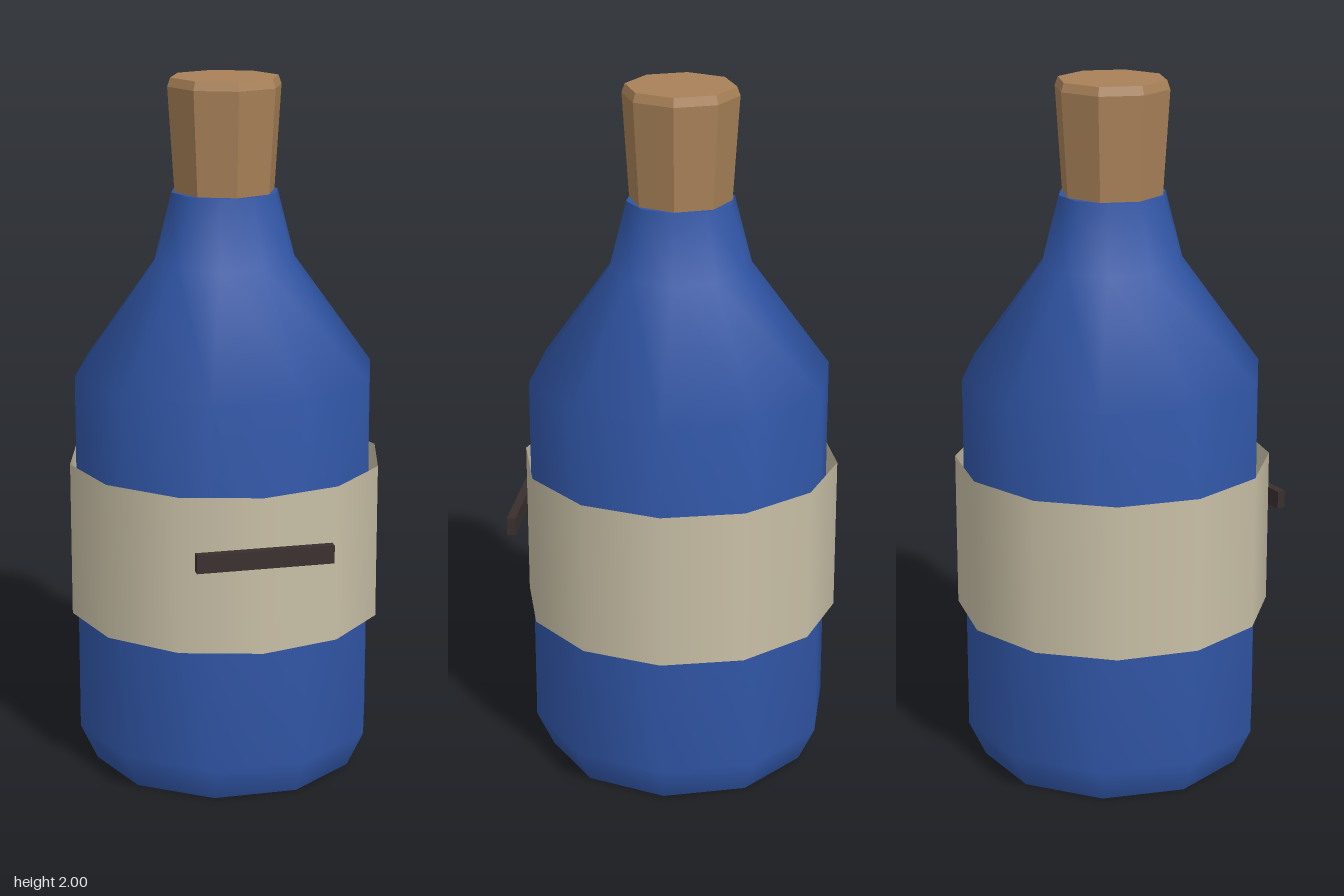
import * as THREE from 'three';

const paint = (name, color, extra = {}) => {
  const m = new THREE.MeshStandardMaterial({ color, ...extra });
  m.name = name;
  return m;
};

export function createModel() {
  const glass = paint('blue glass', 0x3055a5);
  const corkMat = paint('cork brown', 0xa88158, { flatShading: true });
  const paper = paint('cream paper', 0xc8bfa6, { side: THREE.DoubleSide });
  const ink = paint('dark ink', 0x3a2f2f);

  const group = new THREE.Group();
  const axisZ = -0.0135; // the bottle axis sits slightly behind the centre
  const add = (name, geometry, material, x, y, z) => {
    const mesh = new THREE.Mesh(geometry, material);
    mesh.name = name;
    mesh.position.set(x, y, z);
    group.add(mesh);
  };
  // turned part with corners on the x axis
  const turn = (points, sides) => new THREE.LatheGeometry(
    points.map(([r, y]) => new THREE.Vector2(r, y)), sides, Math.PI / 2);

  // ten-sided bottle, smooth around, with crisp base and rim
  add('bottleBody', turn([[0.388, 0], [0.437, 0.105], [0.437, 1.165], [0.205, 1.485], [0.154, 1.68]], 10),
    glass, 0, 0, axisZ);
  add('bottleBase', new THREE.CircleGeometry(0.388, 10).rotateX(Math.PI / 2), glass, 0, 0, axisZ);
  add('bottleRim', new THREE.CircleGeometry(0.154, 10).rotateX(-Math.PI / 2), glass, 0, 1.68, axisZ);

  // eight-sided flared stopper with a small bevel on top
  add('cork', turn([[0, 1.62], [0.141, 1.62], [0.145, 1.68], [0.164, 1.975], [0.155, 2], [0, 2]], 8),
    corkMat, 0, 0, axisZ);

  // paper band around the body
  add('label', new THREE.CylinderGeometry(0.455, 0.455, 0.45, 12, 1, true), paper, 0, 0.683, axisZ);

  // dark bar on the front of the label
  add('labelBar', new THREE.BoxGeometry(0.388, 0.052, 0.025), ink, 0, 0.74, 0.453);

  return group;
}
